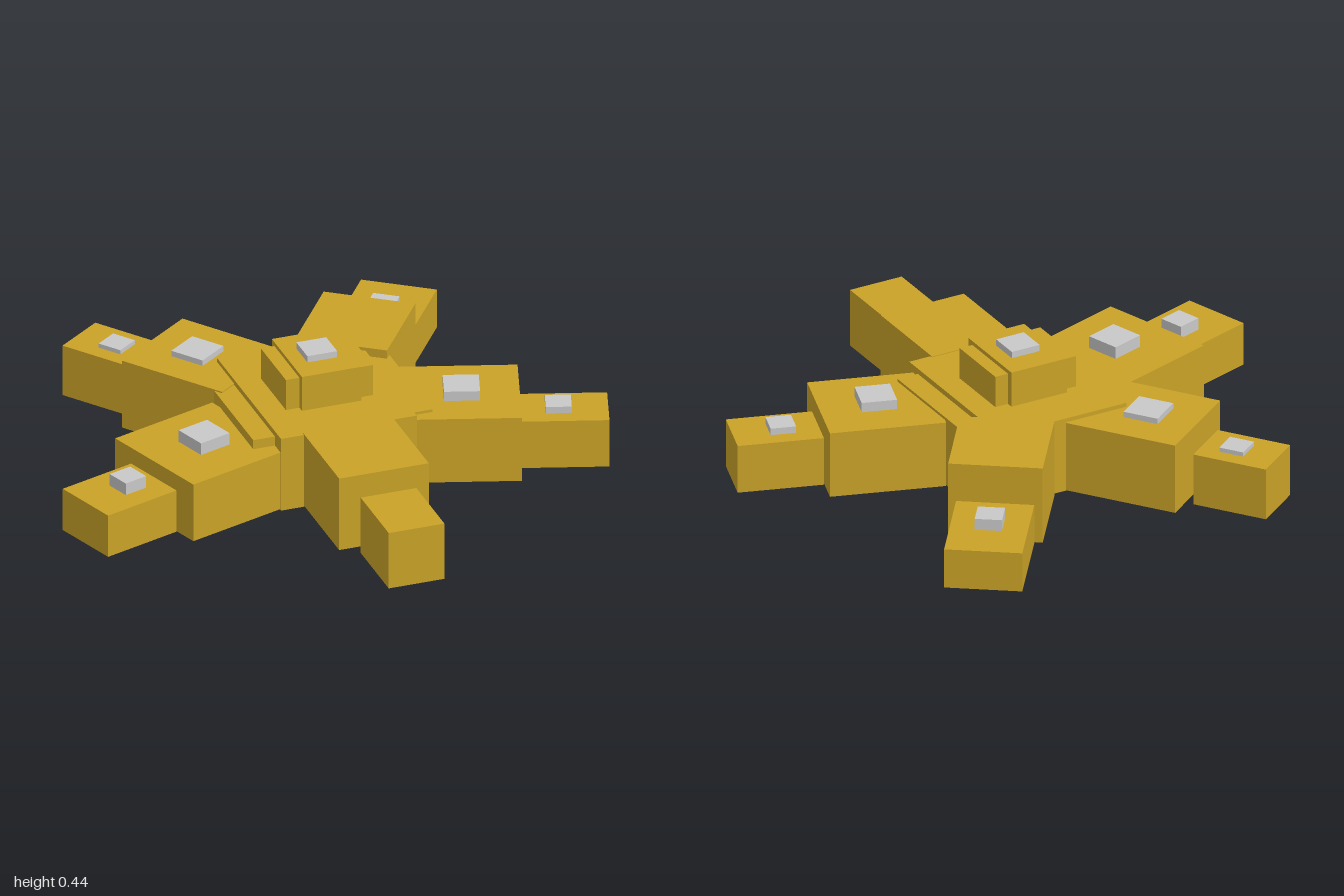
import * as THREE from 'three';

export function createModel() {
  const model = new THREE.Group();
  model.name = 'starFort';
  const gold = new THREE.MeshStandardMaterial({ color: 0xc9a227 });
  gold.name = 'gold';
  const silver = new THREE.MeshStandardMaterial({ color: 0xc8c8c8 });
  silver.name = 'silver';

  // Box given by width, depth, bottom, top and its centre z
  const block = (parent, name, material, w, d, y0, y1, z = 0) => {
    const mesh = new THREE.Mesh(new THREE.BoxGeometry(w, y1 - y0, d), material);
    mesh.name = name;
    mesh.position.set(0, (y0 + y1) / 2, z);
    parent.add(mesh);
  };

  // Central hall: two crossed blocks, each a different height
  const core = new THREE.Group();
  core.name = 'core';
  block(core, 'coreLong', gold, 0.5, 0.64, 0, 0.28);
  block(core, 'coreWide', gold, 0.66, 0.52, 0, 0.26);

  // Raised turret with its cap
  block(core, 'turretWide', gold, 0.32, 0.25, 0.25, 0.397);
  block(core, 'turretLong', gold, 0.22, 0.3, 0.25, 0.412);
  block(core, 'turretCap', silver, 0.11, 0.11, 0.41, 0.436);
  core.position.set(0.01, 0, -0.04);
  model.add(core);

  // Five arms, 72 degrees apart, counted from the front towards +x.
  // inner/outer: [width, start radius, end radius, height, cap size, cap top]
  const arms = [
    { name: 'frontArm', inner: [0.33, 0.305, 0.665, 0.283], outer: [0.205, 0.71, 0.99, 0.22] },
    { name: 'leftArm', inner: [0.394, 0.29, 0.7, 0.25, 0.125, 0.286], outer: [0.206, 0.702, 1.006, 0.185, 0.09, 0.21] },
    { name: 'backLeftArm', inner: [0.329, 0.305, 0.665, 0.292], outer: [0.272, 0.672, 1.04, 0.152, 0.095, 0.194] },
    { name: 'backRightArm', inner: [0.375, 0.27, 0.685, 0.265, 0.13, 0.286], outer: [0.204, 0.715, 0.99, 0.197, 0.09, 0.213] },
    { name: 'rightArm', inner: [0.436, 0.29, 0.717, 0.225, 0.125, 0.27], outer: [0.253, 0.719, 1.02, 0.165, 0.09, 0.21] },
  ];
  arms.forEach((arm, i) => {
    const group = new THREE.Group();
    group.name = arm.name;
    for (const [key, capRadius] of [['inner', 0.498], ['outer', 0.833]]) {
      const [w, r0, r1, h, cap, capTop] = arm[key];
      block(group, key + 'Block', gold, w, r1 - r0, 0.004, h, (r0 + r1) / 2);
      if (cap) block(group, key + 'Cap', silver, cap, cap, h - 0.005, capTop, capRadius);
    }
    group.position.set(0.01, 0, -0.035);
    group.rotation.y = (i * 2 * Math.PI) / 5;
    model.add(group);
  });
  return model;
}
